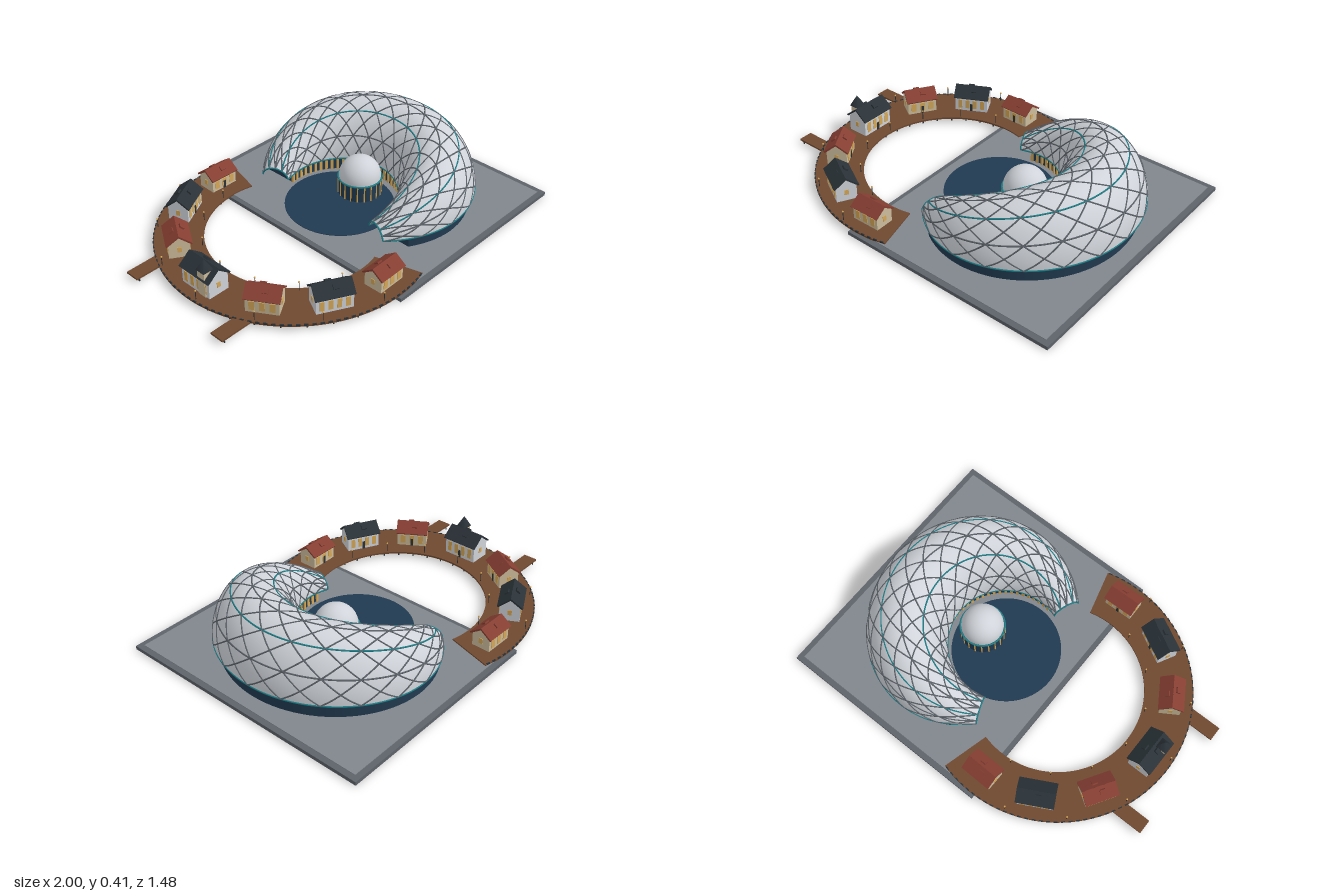
import * as THREE from 'three';

const mat = (name, color, side = THREE.FrontSide) => {
  const m = new THREE.MeshStandardMaterial({ color, side });
  m.name = name;
  return m;
};
const M = {
  paving: mat('paving grey', 0x80868d),
  steel: mat('steel grey', 0x5d636a),
  shell: mat('pale panel', 0xd0d4da, THREE.DoubleSide),
  teal: mat('teal trim', 0x1f7f88),
  navy: mat('navy glass', 0x213a50),
  wood: mat('deck brown', 0x70492f),
  red: mat('red tile', 0x863e32),
  slate: mat('dark slate', 0x2a3238),
  cream: mat('cream wall', 0xcdbd9c),
  gold: mat('warm gold', 0xd6a858),
};
const RAD = Math.PI / 180;
const RING_X = -0.195;

function add(parent, name, geo, material, x = 0, y = 0, z = 0) {
  const m = new THREE.Mesh(geo, material);
  m.name = name;
  m.position.set(x, y, z);
  parent.add(m);
  return m;
}
const box = (p, name, w, h, d, material, x, y, z) =>
  add(p, name, new THREE.BoxGeometry(w, h, d), material, x, y, z);
const cyl = (p, name, r, h, material, x, y, z, sides = 6) =>
  add(p, name, new THREE.CylinderGeometry(r, r, h, sides), material, x, y, z);

// Extrudes a plan outline upwards from height y
function slab(parent, name, pts, y, h, material) {
  const geo = new THREE.ExtrudeGeometry(new THREE.Shape(pts), { depth: h, bevelEnabled: false });
  geo.rotateX(-Math.PI / 2);
  return add(parent, name, geo, material, 0, y, 0);
}

// Plan of the crescent: s runs -1..1 from tip to tip, t from outer to inner edge
function plan(s, t) {
  const a = s * 126 * RAD, b = s * 108 * RAD;
  const taper = 1 - 0.12 * Math.abs(s) ** 6;
  const ox = 0.34 + 0.58 * Math.cos(a), oz = 0.61 * Math.sin(a) * taper;
  const ix = 0.15 + 0.31 * Math.cos(b), iz = 0.31 * Math.sin(b);
  return [ox + (ix - ox) * t, oz + (iz - oz) * t];
}
// Point on the arched crescent roof, v 0..1 over the arch
function roofPoint(s, v) {
  const [x, z] = plan(s, (1 - Math.cos(Math.PI * v)) / 2);
  const base = 0.078 + 0.032 * Math.max(0, plan(s, 0)[0]) / 0.92;
  const top = 0.405 - 0.275 * Math.abs(s) ** 2.5;
  const arch = Math.max(0, Math.sin(Math.PI * v)) ** 1.1;
  return new THREE.Vector3(x, base + (top - base) * arch, z);
}

function buildShell(root) {
  const g = new THREE.Group();
  g.name = 'crescentHall';
  root.add(g);
  // Smooth skin
  const NU = 96, NV = 32, pos = [], idx = [];
  for (let i = 0; i <= NU; i++)
    for (let j = 0; j <= NV; j++) pos.push(...roofPoint(i / NU * 2 - 1, j / NV).toArray());
  for (let i = 0; i < NU; i++)
    for (let j = 0; j < NV; j++) {
      const a = i * (NV + 1) + j, b = a + NV + 1;
      idx.push(a, a + 1, b, b, a + 1, b + 1);
    }
  const geo = new THREE.BufferGeometry();
  geo.setAttribute('position', new THREE.Float32BufferAttribute(pos, 3));
  geo.setIndex(idx);
  geo.computeVertexNormals();
  add(g, 'roofSkin', geo, M.shell);

  const tube = (name, pts, r, material) => add(g, name,
    new THREE.TubeGeometry(new THREE.CatmullRomCurve3(pts), pts.length * 2, r, 5), material);
  // Diagonal lattice, both directions
  const N = 28, R = 12;
  for (const dir of [1, -1])
    for (let k = 2 - R; k < N; k += 2) {
      const pts = [];
      for (let j = 0; j <= R * 2; j++) {
        const u = k + j / 2;
        if (u >= 0 && u <= N) pts.push(roofPoint(dir * (u / N * 2 - 1), j / (R * 2)));
      }
      if (pts.length > 2) tube('latticeRib', pts, 0.004, M.steel);
    }
  // Long rings, teal at the edges and thirds
  for (let j = 0; j <= 6; j++) {
    const pts = [];
    for (let i = 0; i <= 60; i++) pts.push(roofPoint(i / 30 - 1, j / 6));
    tube('ringRib', pts, 0.0042, j % 2 ? M.steel : M.teal);
  }
  // Rims of the two open tips
  for (const s of [-1, 1]) {
    const pts = [];
    for (let j = 0; j <= 16; j++) pts.push(roofPoint(s, j / 16));
    tube('tipRim', pts, 0.0045, M.teal);
  }
  // Glazed hall below the roof
  const outer = [], inner = [];
  for (let i = 0; i <= 60; i++) {
    const s = (i / 30 - 1) * 0.9;
    outer.push(new THREE.Vector2(...plan(s, 0.06)));
    inner.unshift(new THREE.Vector2(...plan(s, 0.95)));
  }
  slab(g, 'glassWall', [...outer, ...inner], 0.02, 0.085, M.navy);
  // Gold mullions along the courtyard
  for (let i = 0; i <= 34; i++) {
    const s = (i / 17 - 1) * 0.89;
    const [x, z] = plan(s, 0.952);
    const m = box(g, 'mullion', 0.012, 0.08, 0.014, M.gold, x, 0.062, z);
    m.rotation.y = -s * 108 * RAD;
  }
}

function buildPavilion(root) {
  const g = new THREE.Group();
  g.name = 'domePavilion';
  g.position.set(0.31, 0, 0);
  root.add(g);
  cyl(g, 'drum', 0.119, 0.1, M.navy, 0, 0.07, 0, 40);
  for (let i = 0; i < 20; i++) {
    const a = i * 18 * RAD;
    cyl(g, 'drumMullion', 0.004, 0.1, M.gold, 0.119 * Math.cos(a), 0.07, 0.119 * Math.sin(a));
  }
  const rim = add(g, 'drumRim', new THREE.TorusGeometry(0.119, 0.005, 6, 40), M.teal, 0, 0.12, 0);
  rim.rotation.x = Math.PI / 2;
  add(g, 'dome', new THREE.SphereGeometry(0.114, 36, 24), M.shell, 0, 0.125, 0);
}

// Gabled house on the ring; its local x follows the ridge, +z faces outwards
function house(root, angle, len, depth, eave, ridge, wall, roof, nWin) {
  const g = new THREE.Group();
  g.name = 'house';
  const c = Math.cos(angle * RAD), s = Math.sin(angle * RAD);
  g.position.set(RING_X + 0.6 * c, 0.03, 0.6 * s);
  g.rotation.y = Math.atan2(c, s);
  root.add(g);
  const d = depth / 2 - 0.008, L = len - 0.014;
  const gable = new THREE.Shape([[-d, 0], [d, 0], [d, eave], [0, ridge - 0.006], [-d, eave]]
    .map(p => new THREE.Vector2(...p)));
  const geo = new THREE.ExtrudeGeometry(gable, { depth: L, bevelEnabled: false });
  geo.translate(0, 0, -L / 2).rotateY(Math.PI / 2);
  add(g, 'houseWalls', geo, wall);
  const slope = Math.atan2(ridge - eave, depth / 2);
  for (const k of [-1, 1]) {
    const r = box(g, 'roofSlope', len, 0.009, Math.hypot(depth / 2, ridge - eave) + 0.006, roof,
      0, (eave + ridge) / 2, k * depth / 4);
    r.rotation.x = k * slope;
    const dormer = box(g, 'dormer', 0.03, 0.014, 0.026, roof, k * 0.012, ridge - 0.013, k * depth * 0.22);
    dormer.rotation.x = k * slope;
    for (let i = 0; i < nWin; i++) {
      const x = ((i + 0.5) / nWin - 0.5) * L * 0.92;
      box(g, 'window', L * 0.5 / nWin, eave * 0.62, 0.006, M.gold, x, eave * 0.5, k * d);
    }
    box(g, 'gableWindow', 0.006, 0.03, 0.022, M.gold, k * L / 2, eave * 0.6, 0);
  }
  box(g, 'door', 0.014, 0.045, 0.009, M.slate, 0, 0.0225, -d);
  return g;
}

function buildRing(root) {
  const g = new THREE.Group();
  g.name = 'villageRing';
  root.add(g);
  // Curved deck
  const outer = [], inner = [];
  for (let i = 0; i <= 72; i++) {
    const a = (75 + i / 72 * 210) * RAD, c = Math.cos(a), s = Math.sin(a);
    outer.push(new THREE.Vector2(RING_X + 0.722 * c, 0.722 * s));
    inner.unshift(new THREE.Vector2(RING_X + 0.463 * c, 0.463 * s));
  }
  slab(g, 'boardwalk', [...outer, ...inner], 0.02, 0.01, M.wood);
  // Gangways
  for (const k of [-1, 1]) {
    box(g, 'gangway', 0.17, 0.01, 0.078, M.wood, -0.915, 0.024, k * 0.31);
    for (const z of [-0.03, 0.03]) cyl(g, 'gangwayPile', 0.004, 0.02, M.slate, -0.98, 0.01, k * 0.31 + z);
  }
  const polar = (r, deg) => [RING_X + r * Math.cos(deg * RAD), r * Math.sin(deg * RAD)];
  // Edge blocks, piles and lamps
  for (let i = 0; i < 70; i++) {
    const [x, z] = polar(0.72, 76.5 + i * 3);
    const b = box(g, 'edgeBlock', 0.006, 0.008, 0.02, M.slate, x, 0.029, z);
    b.rotation.y = -(76.5 + i * 3) * RAD;
  }
  for (let i = 0; i <= 16; i++)
    for (const r of [0.48, 0.705]) {
      const [x, z] = polar(r, 100 + i * 10);
      cyl(g, 'pile', 0.004, 0.022, M.slate, x, 0.011, z);
    }
  for (let i = 0; i < 7; i++)
    for (const [r, off] of [[0.705, 0], [0.478, 8]]) {
      const [x, z] = polar(r, 98 + i * 26 + off);
      cyl(g, 'lampPost', 0.002, 0.05, M.slate, x, 0.055, z);
      add(g, 'lampBulb', new THREE.SphereGeometry(0.005, 8, 6), M.gold, x, 0.081, z);
    }
  // Houses
  for (const k of [-1, 1]) {
    house(g, 180 + k * 91, 0.175, 0.12, 0.075, 0.118, M.cream, M.red, 3);
    house(g, 180 + k * 62, 0.2, 0.125, 0.085, 0.135, M.shell, M.slate, 4);
    house(g, 180 + k * 32, 0.18, 0.125, 0.08, 0.128, M.cream, M.red, 3);
  }
  // Chapel with corner tower
  const chapel = house(g, 180, 0.21, 0.135, 0.095, 0.15, M.shell, M.slate, 4);
  chapel.name = 'chapel';
  box(chapel, 'tower', 0.05, 0.145, 0.05, M.cream, 0.05, 0.0725, 0.04);
  const spire = add(chapel, 'spire', new THREE.ConeGeometry(0.042, 0.062, 4), M.slate, 0.05, 0.175, 0.04);
  spire.geometry.rotateY(Math.PI / 4);
}

export function createModel() {
  const root = new THREE.Group();
  root.name = 'crescentVillage';
  // Ground slab with paved inset and pool
  box(root, 'baseSlab', 1.22, 0.02, 1.48, M.steel, 0.39, 0.01, 0);
  box(root, 'paving', 1.165, 0.008, 1.42, M.paving, 0.387, 0.019, 0);
  cyl(root, 'pool', 0.295, 0.008, M.navy, 0.15, 0.022, 0, 64);
  buildShell(root);
  buildPavilion(root);
  buildRing(root);
  return root;
}
